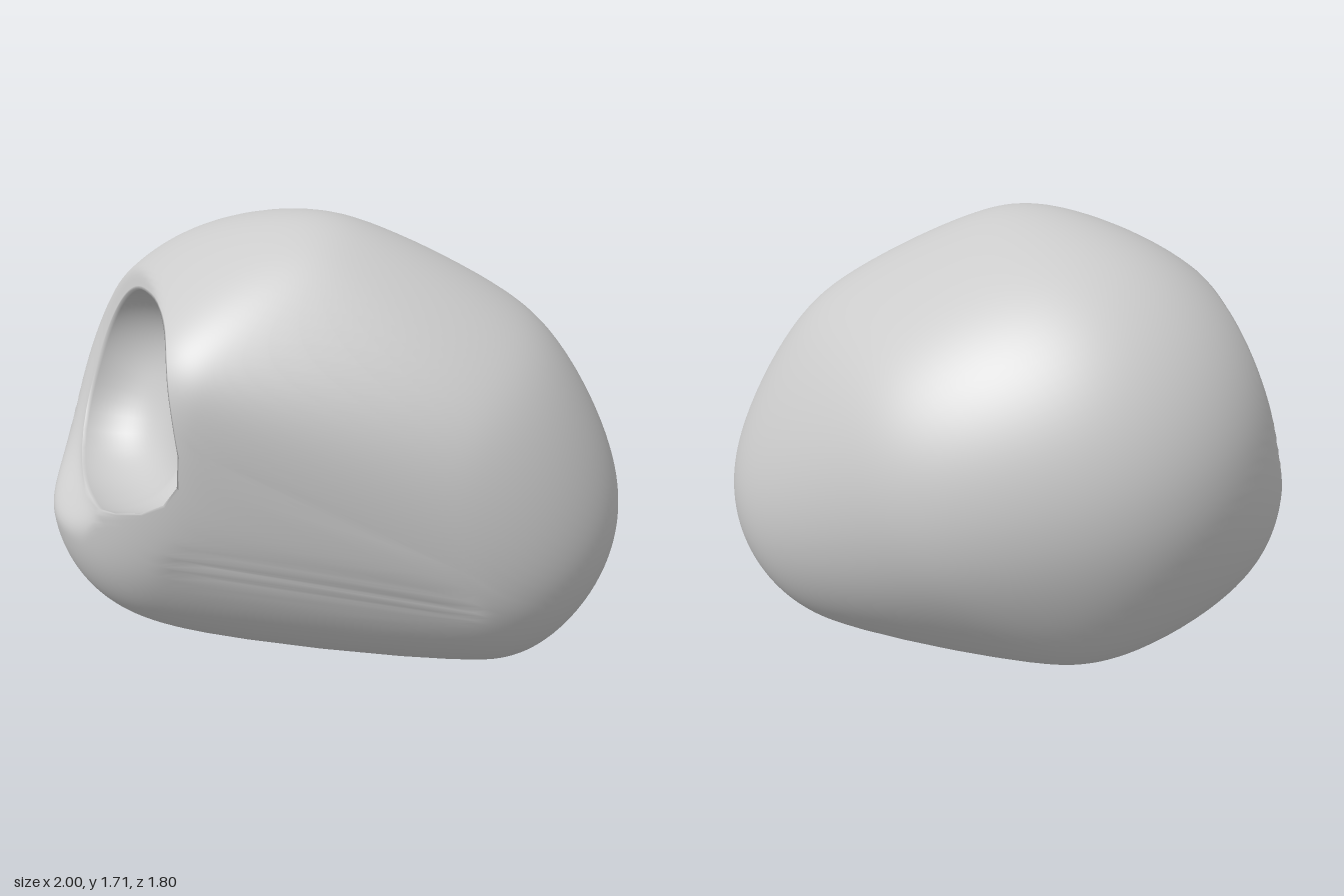
import * as THREE from 'three';

// Soft hull of overlapping balls [x, y, z, radius], measured from the body centre
const balls = [
  [-0.17, 0.06, -0.15, 0.75],  // main mass
  [-0.10, 0.395, 0.12, 0.46],  // crown
  [0.42, -0.24, 0.315, 0.58],  // low front bulge
  [0.47, -0.57, 0.47, 0.23],   // chin
  [0.25, 0.06, 0.28, 0.59],    // upper front
  [0.12, 0.00, -0.10, 0.665],  // rear flank
  [-0.495, -0.21, -0.18, 0.51], // low side under the opening
  [-0.16, -0.25, -0.17, 0.59], // base
  [-0.55, -0.13, 0.17, 0.25],  // low front corner of the lip
  [-0.53, 0.32, 0.23, 0.29],   // high front corner of the lip
].map(([x, y, z, r]) => ({ c: new THREE.Vector3(x, y, z), r }));
const SHARP = 34;
const CENTRE_Y = 0.855;

// Point of the smooth hull whose outward normal is n
function hullPoint(n) {
  const h = balls.map((b) => Math.max(0, b.c.dot(n) + b.r));
  const total = Math.pow(h.reduce((s, v) => s + Math.pow(v, SHARP), 0), 1 / SHARP);
  const p = new THREE.Vector3();
  balls.forEach((b, i) => {
    const w = Math.pow(h[i] / total, SHARP - 1);
    p.addScaledVector(b.c, w).addScaledVector(n, b.r * w);
  });
  return p;
}

// Opening: a rounded-square hollow in a slanted plane on the -x side
const axis = new THREE.Vector3(-0.94, 0.32, -0.1).normalize();
const across = new THREE.Vector3(0, 0, 1).addScaledVector(axis, -axis.z).normalize();
const upward = axis.clone().cross(across);
const mouth = new THREE.Vector3(-0.79, 0.24, -0.03);
const DEPTH = 0.27;

function mouthRadius(p) {
  const d = p.clone().sub(mouth);
  const u = Math.abs(d.dot(across)) / 0.45, v = Math.abs(d.dot(upward)) / 0.38;
  return Math.pow(Math.pow(u, 2.5) + Math.pow(v, 2.5), 1 / 2.5);
}

// Press the skin around the mouth onto the mouth plane
function flatten(p) {
  const w = 1 - THREE.MathUtils.smoothstep(mouthRadius(p), 1, 1.45);
  const over = Math.max(0, p.clone().sub(mouth).dot(axis));
  return p.addScaledVector(axis, -over * w);
}

export function createModel() {
  const group = new THREE.Group();
  const SEG = 112, INNER = 26, OUTER = 76;
  const pole = new THREE.Vector3(-0.96, 0.2, 0.1).normalize();
  const e1 = new THREE.Vector3(0, 1, 0).addScaledVector(pole, -pole.y).normalize();
  const e2 = pole.clone().cross(e1);
  const normalAt = (theta, j) => {
    const phi = j / SEG * Math.PI * 2;
    return pole.clone().multiplyScalar(Math.cos(theta))
      .addScaledVector(e1, Math.sin(theta) * Math.cos(phi))
      .addScaledVector(e2, Math.sin(theta) * Math.sin(phi));
  };

  // Angle and position of the rim in every direction around the mouth
  const rim = [];
  for (let j = 0; j < SEG; j++) {
    let lo = 0, hi = 1.5;
    for (let k = 0; k < 30; k++) {
      const mid = (lo + hi) / 2;
      if (mouthRadius(hullPoint(normalAt(mid, j))) < 1) lo = mid; else hi = mid;
    }
    rim.push({ angle: lo, point: flatten(hullPoint(normalAt(lo, j))) });
  }

  // Rings run from the bottom of the hollow, over the rim, to the far side
  const rows = INNER + OUTER, pos = [], index = [];
  for (let i = 0; i <= rows; i++) {
    for (let j = 0; j < SEG; j++) {
      const { angle, point } = rim[j];
      let p;
      if (i < INNER) {
        const k = Math.sin(i / INNER * Math.PI / 2);
        p = mouth.clone().lerp(point, k)
          .addScaledVector(axis, -DEPTH * Math.pow(1 - Math.pow(k, 4), 0.6));
      } else {
        const t = Math.pow((i - INNER) / OUTER, 1.2);
        p = flatten(hullPoint(normalAt(angle + (Math.PI - angle) * t, j)));
      }
      pos.push(p.x, p.y + CENTRE_Y, p.z);
      if (i < rows) {
        const a = i * SEG + j, d = i * SEG + (j + 1) % SEG;
        if (i > 0) index.push(a, a + SEG, d);
        index.push(a + SEG, d + SEG, d);
      }
    }
  }
  const geo = new THREE.BufferGeometry();
  geo.setAttribute('position', new THREE.Float32BufferAttribute(pos, 3));
  geo.setIndex(index);
  geo.computeVertexNormals();

  const body = new THREE.Mesh(geo, new THREE.MeshStandardMaterial({ color: 0xcccccc, side: THREE.DoubleSide }));
  body.name = 'hollowedBody';
  group.add(body);
  return group;
}
